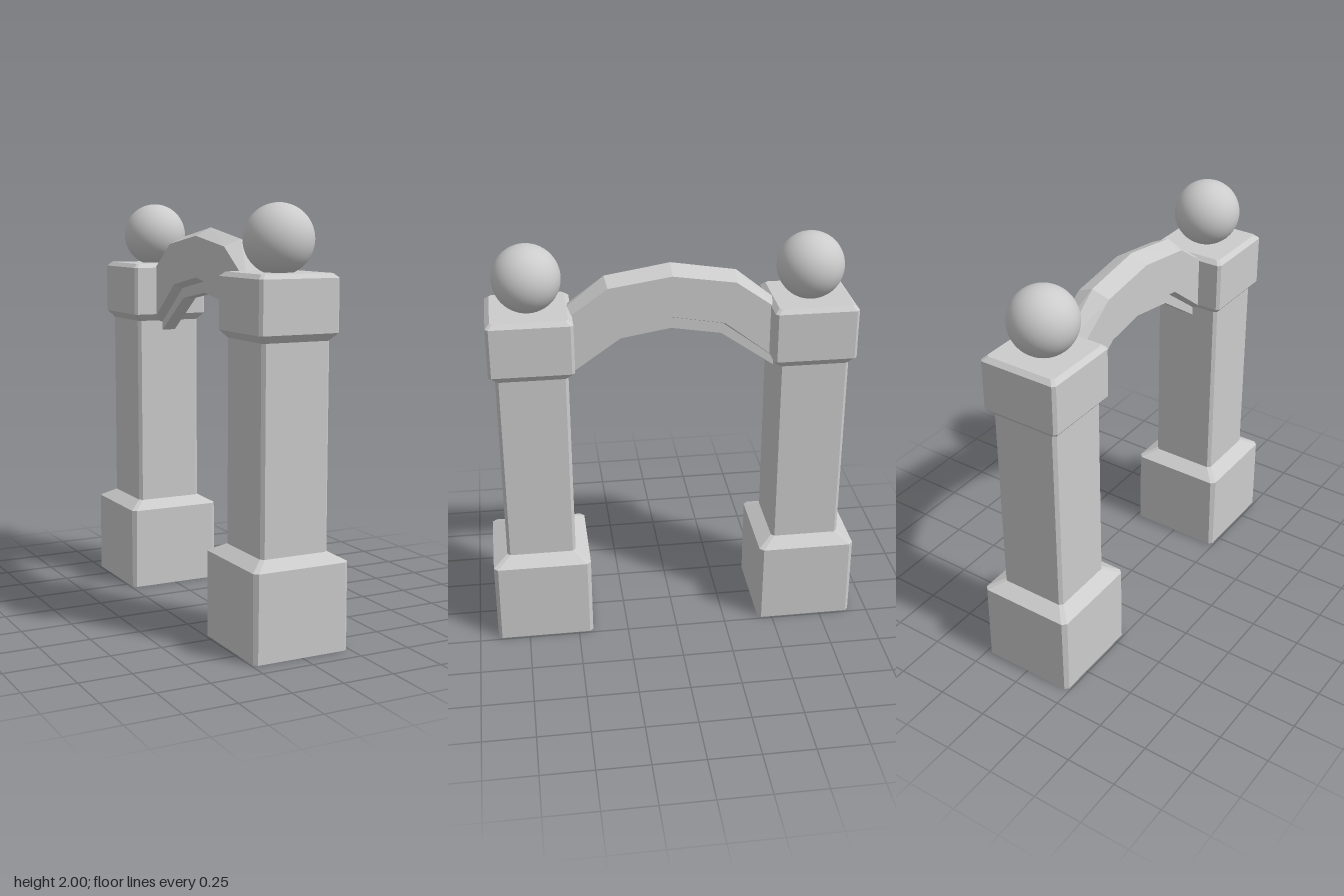
import * as THREE from 'three';

const flat = new THREE.MeshStandardMaterial({ color: 0xcccccc, flatShading: true });
const smooth = new THREE.MeshStandardMaterial({ color: 0xcccccc });

// Skin a list of equal-length rings and close both ends.
function loft(rings) {
  const pos = [];
  const tri = (...pts) => pts.forEach(p => pos.push(...p));
  const n = rings[0].length;
  const centre = r => [0, 1, 2].map(k => r.reduce((s, p) => s + p[k], 0) / n);
  const first = rings[0], last = rings[rings.length - 1];
  for (let j = 0; j < n; j++) {
    const m = (j + 1) % n;
    for (let i = 0; i < rings.length - 1; i++) {
      const a = rings[i], b = rings[i + 1];
      tri(a[j], a[m], b[m]);
      tri(a[j], b[m], b[j]);
    }
    tri(centre(first), first[m], first[j]);
    tri(centre(last), last[j], last[m]);
  }
  const geo = new THREE.BufferGeometry();
  geo.setAttribute('position', new THREE.Float32BufferAttribute(pos, 3));
  geo.computeVertexNormals();
  return geo;
}

// Square ring with chamfered corners: half width h, chamfer c, height y.
function square(h, y, c) {
  const k = h - c;
  return [[h, k], [h, -k], [k, -h], [-k, -h], [-h, -k], [-h, k], [-k, h], [k, h]]
    .map(([x, z]) => [x, y, z]);
}

function add(parent, name, geo, mat = flat) {
  const mesh = new THREE.Mesh(geo, mat);
  mesh.name = name;
  parent.add(mesh);
  return mesh;
}

function makePillar(name, z) {
  const pillar = new THREE.Group();
  pillar.name = name;
  pillar.position.z = z;
  // Plinth with sloped shoulder
  add(pillar, 'plinth', loft([square(0.24, 0, 0.017), square(0.24, 0.41, 0.02), square(0.17, 0.45, 0.015)]));
  add(pillar, 'shaft', loft([square(0.17, 0.44, 0.015), square(0.17, 1.405, 0.015)]));
  // Cap block, bevelled above and below
  add(pillar, 'cap', loft([
    square(0.17, 1.4, 0.015), square(0.2, 1.435, 0.014),
    square(0.2, 1.675, 0.014), square(0.178, 1.695, 0.012),
  ]));
  add(pillar, 'ballFinial', new THREE.SphereGeometry(0.16, 40, 28), smooth).position.y = 1.84;
  return pillar;
}

// Arch: each section corner gives x, crown height, knee z, knee height, end height.
function makeArch() {
  const right = [
    [0.035, 1.57, 0.24, 1.53, 1.32],  // rib bottom
    [0.035, 1.625, 0.25, 1.58, 1.36], // rib top
    [0.082, 1.645, 0.25, 1.6, 1.375], // lower edge
    [0.082, 1.845, 0.3, 1.8, 1.63],   // shoulder
  ];
  const section = [
    ...right,
    [0, 1.885, 0.31, 1.835, 1.65],    // ridge
    ...right.map(([x, ...r]) => [-x, ...r]).reverse(),
  ];
  const end = 0.54;
  return loft([
    section.map(s => [s[0], s[4], -end]),
    section.map(s => [s[0], s[3], -s[2]]),
    section.map(s => [s[0], s[1], 0]),
    section.map(s => [s[0], s[3], s[2]]),
    section.map(s => [s[0], s[4], end]),
  ]);
}

export function createModel() {
  const model = new THREE.Group();
  model.name = 'gateArch';
  model.add(makePillar('frontPillar', 0.667), makePillar('backPillar', -0.667));
  add(model, 'arch', makeArch());
  return model;
}
